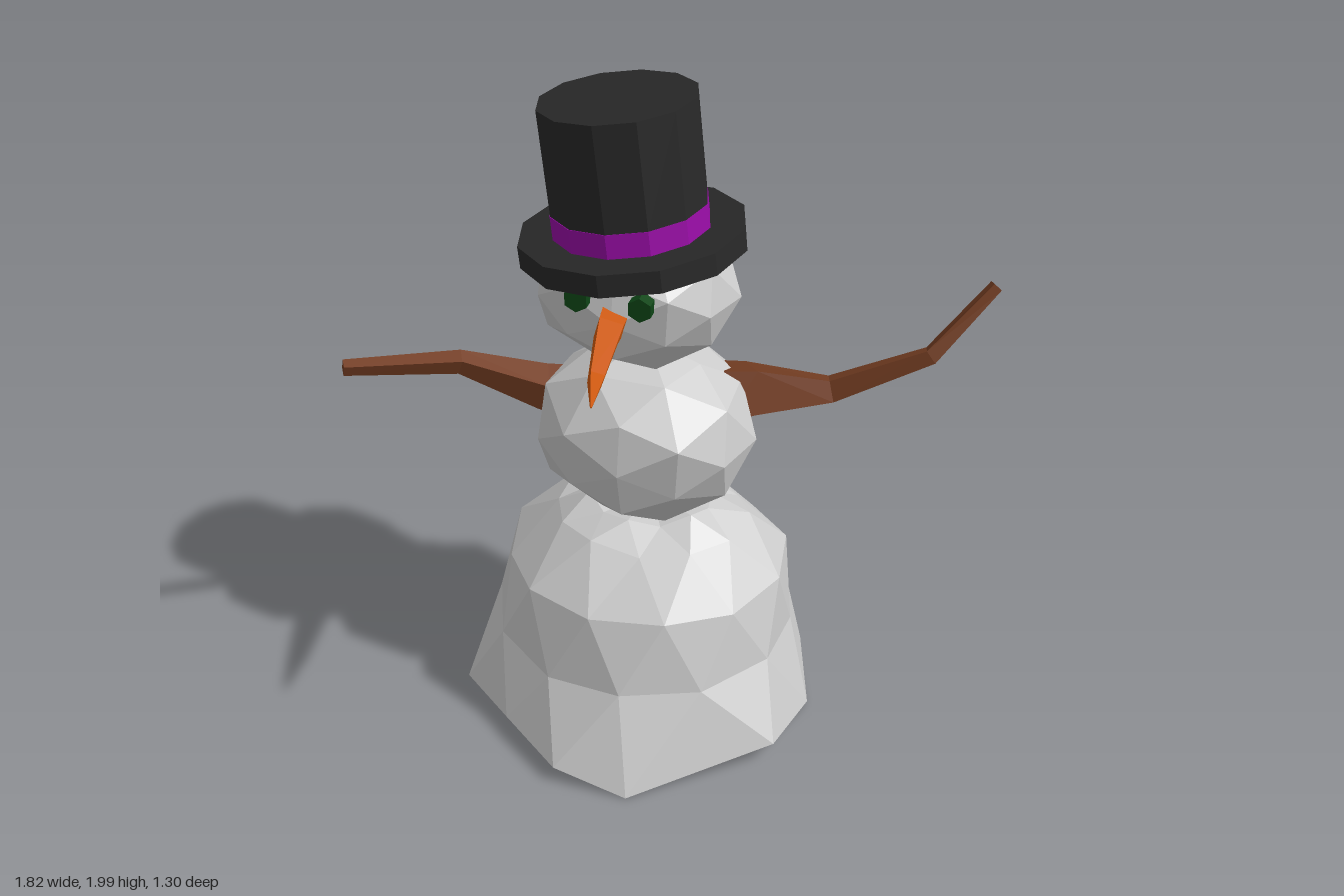
import * as THREE from 'three';

const paint = (color, side = THREE.FrontSide) =>
  new THREE.MeshStandardMaterial({ color, side, flatShading: true });

// Skin through rings of equal point count, capped on top and optionally below
function loft(rings, openBottom = false) {
  const n = rings[0].length, pos = [], idx = [];
  rings.forEach((ring) => ring.forEach((p) => pos.push(p.x, p.y, p.z)));
  for (let j = 0; j < rings.length - 1; j++) {
    for (let i = 0; i < n; i++) {
      const a = j * n + i, b = j * n + (i + 1) % n, c = b + n, d = a + n;
      if (j % 2) idx.push(a, b, c, a, c, d);
      else idx.push(a, b, d, b, c, d);
    }
  }
  const cap = (j, flip) => {
    const centre = new THREE.Vector3();
    rings[j].forEach((p) => centre.addScaledVector(p, 1 / n));
    const m = pos.length / 3;
    pos.push(centre.x, centre.y, centre.z);
    for (let i = 0; i < n; i++) {
      const a = j * n + i, b = j * n + (i + 1) % n;
      if (flip) idx.push(m, b, a); else idx.push(m, a, b);
    }
  };
  if (!openBottom) cap(0, true);
  cap(rings.length - 1, false);
  const g = new THREE.BufferGeometry();
  g.setAttribute('position', new THREE.Float32BufferAttribute(pos, 3));
  g.setIndex(idx);
  g.computeVertexNormals();
  return g;
}

// Tapered, bent four-sided limb; each section is [x, y, z, radius]
function limb(sections) {
  const pts = sections.map((s) => new THREE.Vector3(s[0], s[1], s[2]));
  const up = new THREE.Vector3(0, 1, 0);
  return loft(pts.map((p, j) => {
    const d = pts[Math.min(j + 1, pts.length - 1)].clone().sub(pts[Math.max(j - 1, 0)]).normalize();
    const u = up.clone().addScaledVector(d, -up.dot(d)).normalize();
    const v = d.clone().cross(u);
    return [0.5, 2.07, 3.64, 5.21].map((a) => {
      const r = sections[j][3];
      return p.clone().addScaledVector(u, r * Math.cos(a)).addScaledVector(v, r * Math.sin(a));
    });
  }));
}

// Faceted ball, made lumpy by a repeatable rule on each corner's position
function snowball(rx, ry, rz, seed) {
  const g = new THREE.IcosahedronGeometry(1, 1);
  const p = g.attributes.position, v = new THREE.Vector3();
  for (let i = 0; i < p.count; i++) {
    v.fromBufferAttribute(p, i);
    const k = 1 + 0.06 * Math.sin(v.x * 7 + seed) * Math.cos(v.y * 6 + v.z * 8 + seed);
    p.setXYZ(i, v.x * rx * k, v.y * ry * k, v.z * rz * k);
  }
  g.computeVertexNormals();
  return g;
}

// Hollow spreading base: uneven footprint rising into rounded shoulders
function baseGeometry() {
  const foot = [
    [0.04, 0.005, 0.6], [0.43, 0.08, 0.33], [0.48, 0.02, 0.05], [0.4, 0.05, -0.22],
    [0.22, 0.05, -0.42], [0, 0.005, -0.65], [-0.29, 0.05, -0.6], [-0.46, 0.06, -0.46],
    [-0.6, 0.07, 0], [-0.6, 0.04, 0.25], [-0.4, 0.07, 0.43], [-0.19, 0.06, 0.59],
  ].map((p) => new THREE.Vector3(...p));
  // [height, centre x, half width, half depth]
  const levels = [
    [0.28, -0.07, 0.475, 0.475], [0.5, -0.065, 0.44, 0.41],
    [0.65, -0.05, 0.3, 0.255], [0.7, -0.05, 0.19, 0.16],
  ];
  const rings = levels.map(([y, cx, rx, rz], j) => foot.map((_, i) => {
    const a = (i / 12) * Math.PI * 2 + (j % 2 ? 0.38 : 0.64);
    const bump = Math.sin(i * 2.4 + j * 1.7);
    const k = 1 + 0.02 * bump;
    return new THREE.Vector3(cx + rx * k * Math.sin(a), y + 0.015 * bump, rz * k * Math.cos(a));
  }));
  return loft([foot, ...rings], true);
}

export function createModel() {
  const model = new THREE.Group();
  const snow = paint(0xcccccc), wood = paint(0x733d22), felt = paint(0x282828);
  const add = (name, geometry, material, parent = model) => {
    const mesh = new THREE.Mesh(geometry, material);
    mesh.name = name;
    parent.add(mesh);
    return mesh;
  };

  // Three snow masses
  add('base', baseGeometry(), paint(0xcccccc, THREE.DoubleSide));
  add('body', snowball(0.325, 0.285, 0.32, 1), snow).position.set(-0.06, 0.96, 0.01);
  add('head', snowball(0.29, 0.235, 0.275, 4), snow).position.set(-0.085, 1.42, 0);

  // Face
  const eyeShape = new THREE.CylinderGeometry(0.036, 0.036, 0.08, 6).rotateX(Math.PI / 2);
  const green = paint(0x0e4516);
  add('rightEye', eyeShape, green).position.set(-0.18, 1.49, 0.235);
  add('leftEye', eyeShape, green).position.set(0, 1.485, 0.235);
  add('nose', limb([
    [-0.09, 1.425, 0.2, 0.056], [-0.082, 1.42, 0.29, 0.048],
    [-0.05, 1.395, 0.5, 0.027], [-0.016, 1.4, 0.645, 0.003],
  ]), paint(0xcc580c));

  // Branch arms
  add('leftArm', limb([
    [0.13, 1.045, -0.09, 0.11], [0.22, 1.04, -0.14, 0.095], [0.445, 1.01, -0.25, 0.048],
    [0.73, 1.15, -0.29, 0.032], [0.89, 1.35, -0.4, 0.022],
  ]), wood);
  add('rightArm', limb([
    [-0.28, 0.97, -0.08, 0.09], [-0.4, 1.015, -0.02, 0.07],
    [-0.615, 1.13, 0.095, 0.036], [-0.9, 1.168, 0.28, 0.024],
  ]), wood);

  // Tilted top hat
  const hat = new THREE.Group();
  hat.name = 'hat';
  hat.position.set(-0.09, 1.542, 0.02);
  hat.rotation.set(-0.01, 0, 0.1);
  model.add(hat);
  const drum = (name, radius, bottom, top, material) => {
    const g = new THREE.CylinderGeometry(radius, radius, top - bottom, 12);
    add(name, g.translate(0, (top + bottom) / 2, 0), material, hat);
  };
  drum('brim', 0.325, 0, 0.065, felt);
  drum('hatBand', 0.225, 0.065, 0.135, paint(0x980da6));
  drum('crown', 0.223, 0.135, 0.437, felt);

  return model;
}
